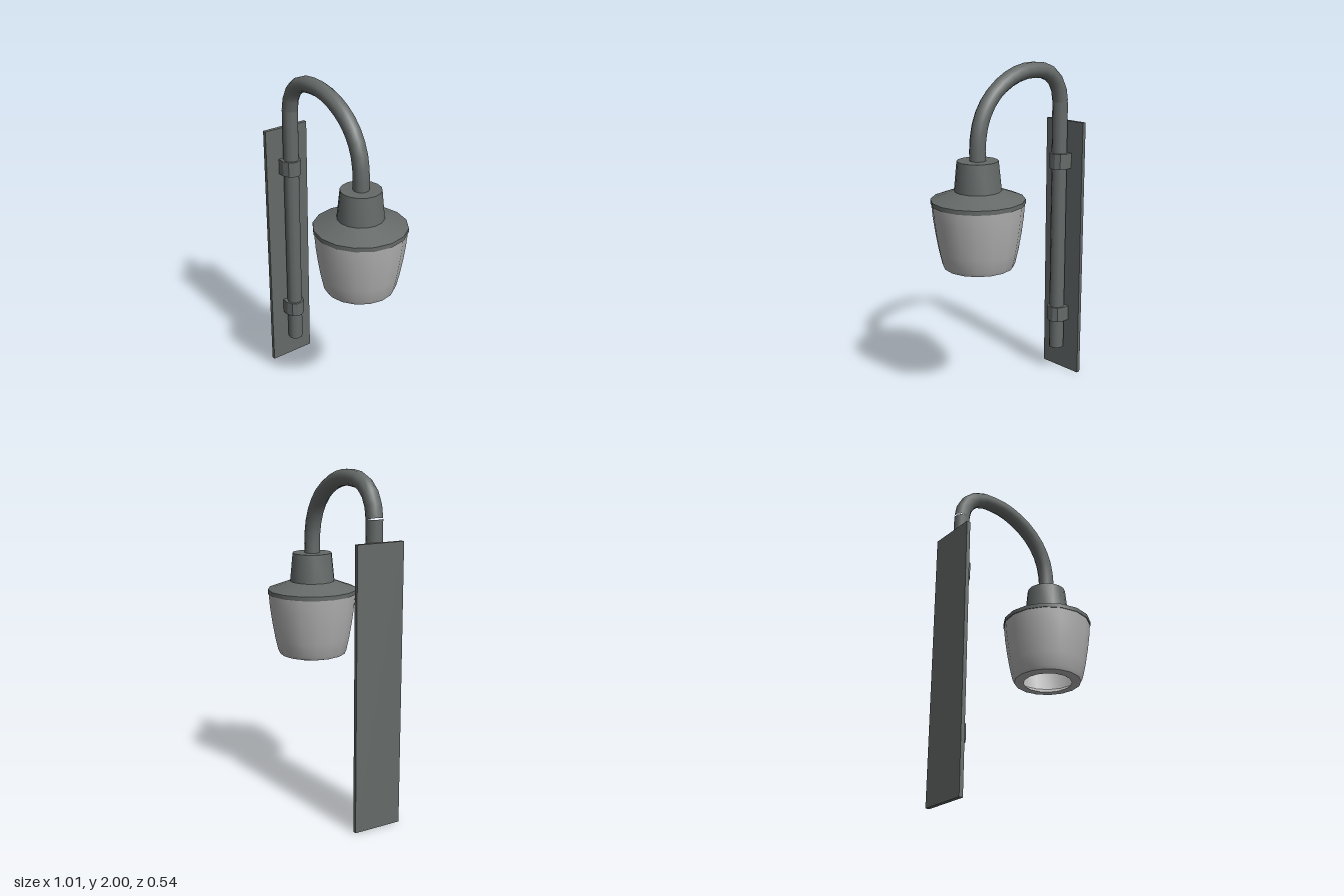
import * as THREE from 'three';
import { toCreasedNormals } from 'three/addons/utils/BufferGeometryUtils.js';

const PIPE_X = -0.437, LAMP_X = 0.235, PIPE_R = 0.047;

export function createModel() {
  const model = new THREE.Group();
  const metal = new THREE.MeshStandardMaterial({ color: 0x656a69 });
  metal.name = 'darkGreyMetal';
  const glass = new THREE.MeshStandardMaterial({ color: 0xb2b2b2 });
  glass.name = 'paleGlass';

  const add = (name, geometry, material, x = 0, y = 0, z = 0) => {
    const mesh = new THREE.Mesh(geometry, material);
    mesh.name = name;
    mesh.position.set(x, y, z);
    model.add(mesh);
    return mesh;
  };
  const lathe = (points) => toCreasedNormals(
    new THREE.LatheGeometry(points.map(([r, y]) => new THREE.Vector2(r, y)), 16), 0.5);

  // wall plate
  add('wallPlate', new THREE.BoxGeometry(0.024, 1.63, 0.294), metal, -0.493, 0.815, 0);

  // upright pipe with its closed lower end
  add('uprightPipe', new THREE.CylinderGeometry(PIPE_R, PIPE_R, 1.59, 10, 1, true), metal, PIPE_X, 0.955, 0);
  add('pipeEnd', new THREE.CircleGeometry(PIPE_R, 10), metal, PIPE_X, 0.16, 0).rotation.x = Math.PI / 2;

  // swan-neck arch
  const arch = new THREE.CatmullRomCurve3([
    [PIPE_X, 1.75], [-0.42, 1.83], [-0.37, 1.902], [-0.29, 1.943], [-0.2, 1.953], [-0.11, 1.947],
    [0, 1.912], [0.1, 1.85], [0.172, 1.77], [0.218, 1.67], [LAMP_X, 1.56], [LAMP_X, 1.47],
  ].map(([x, y]) => new THREE.Vector3(x, y, 0)));
  add('swanNeck', new THREE.TubeGeometry(arch, 16, PIPE_R, 10), metal);

  // pipe clamps: flat at the wall, bevelled around the pipe
  const outline = new THREE.Shape([
    [-0.485, -0.06], [-0.435, -0.06], [-0.398, -0.045], [-0.38, -0.016],
    [-0.38, 0.016], [-0.398, 0.045], [-0.435, 0.06], [-0.485, 0.06],
  ].map(([x, z]) => new THREE.Vector2(x, z)));
  const clampGeometry = new THREE.ExtrudeGeometry(outline, { depth: 0.095, bevelEnabled: false });
  clampGeometry.rotateX(-Math.PI / 2);
  add('lowerClamp', clampGeometry, metal, 0, 0.345, 0);
  add('upperClamp', clampGeometry, metal, 0, 1.34, 0);

  // lamp holder and sloping cap
  add('lampCap', lathe([
    [0, 1.24], [0.27, 1.24], [0.27, 1.265], [0.135, 1.315], [0.118, 1.485], [0, 1.485],
  ]), metal, LAMP_X);

  // open glass shade: inner wall, bottom rim, outer wall
  add('glassShade', lathe([
    [0.245, 1.239], [0.23, 1.07], [0.19, 0.9], [0.145, 0.864],
    [0.19, 0.864], [0.202, 0.868], [0.212, 0.89], [0.23, 0.97], [0.247, 1.07], [0.259, 1.16], [0.266, 1.242],
  ]), glass, LAMP_X);

  return model;
}
